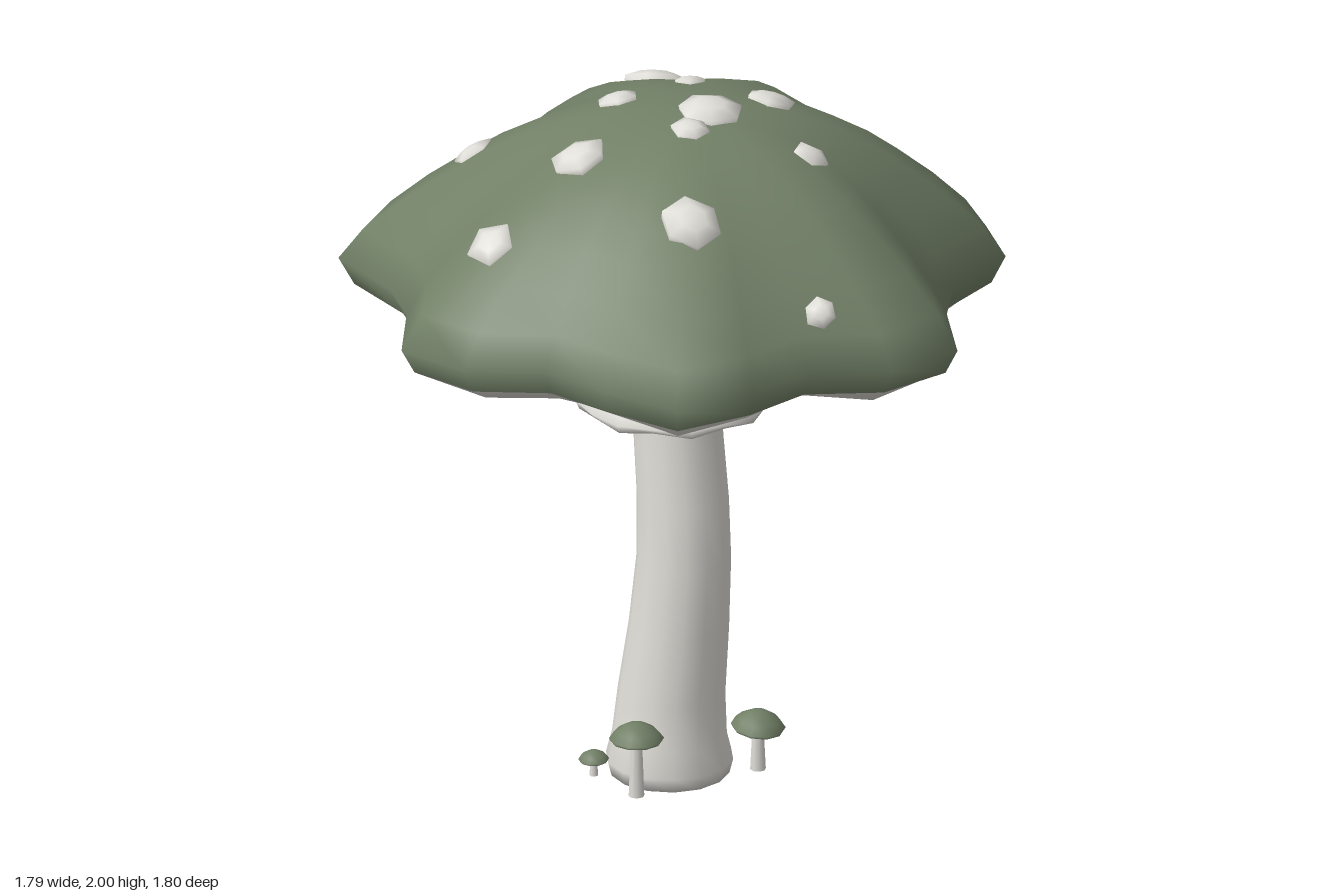
import * as THREE from 'three';
import { mergeVertices } from 'three/addons/utils/BufferGeometryUtils.js';

// Cap outline as [x, z], running back -> left -> front -> right
const OUTLINE = [
  [-0.15, -0.905], [0.06, -0.78], [0.24, -0.70], [0.48, -0.72], [0.64, -0.58], [0.64, -0.33],
  [0.73, -0.165], [0.895, 0.025], [0.83, 0.24], [0.65, 0.38], [0.605, 0.59], [0.50, 0.80],
  [0.255, 0.80], [0.05, 0.78], [-0.14, 0.895], [-0.355, 0.877], [-0.48, 0.67], [-0.617, 0.55],
  [-0.853, 0.453], [-0.90, 0.24], [-0.79, 0.025], [-0.83, -0.20], [-0.867, -0.415],
  [-0.685, -0.55], [-0.467, -0.60], [-0.34, -0.785],
];
const MEAN_RADIUS = 0.86;

// Skin over closed rings of points, listed from top to bottom
function loft(rings) {
  const n = rings[0].length, pos = [], index = [];
  rings.forEach((ring) => ring.forEach((p) => pos.push(...p)));
  for (let i = 0; i < rings.length - 1; i++) {
    for (let k = 0; k < n; k++) {
      const a = i * n + k, b = i * n + (k + 1) % n;
      index.push(a, b, a + n, b, b + n, a + n);
    }
  }
  let g = new THREE.BufferGeometry();
  g.setAttribute('position', new THREE.Float32BufferAttribute(pos, 3));
  g.setIndex(index);
  g = mergeVertices(g, 1e-5);
  g.computeVertexNormals();
  return g;
}

// Horizontal circle of n points; wave lifts every other point
function circle(cx, y, cz, r, n, wave = 0) {
  return Array.from({ length: n }, (_, k) => {
    const a = (k / n) * Math.PI * 2;
    return [cx + r * Math.cos(a), y + (k % 2) * wave, cz + r * Math.sin(a)];
  });
}

// Lobed ring of the cap: the lobes fade toward the middle
function lobedRing(f, y, wave = 0) {
  return OUTLINE.map(([x, z], k) => {
    const R = Math.hypot(x, z);
    const s = f * (1 + (MEAN_RADIUS / R - 1) * (1 - Math.min(1, f * 1.1)));
    return [x * s, y + wave * Math.sin(k * 2.2), z * s];
  });
}

function seeded(seed) {
  return () => (seed = (seed * 16807) % 2147483647) / 2147483647;
}

export function createModel() {
  const green = new THREE.MeshStandardMaterial({ color: 0x728067 });
  green.name = 'moss green';
  const cream = new THREE.MeshStandardMaterial({ color: 0xe0ded8 });
  cream.name = 'pale cream';

  const model = new THREE.Group();
  model.name = 'mushroom';
  const add = (name, geometry, material, parent = model) => {
    const mesh = new THREE.Mesh(geometry, material);
    mesh.name = name;
    parent.add(mesh);
    return mesh;
  };

  // Lobed cap
  const cap = add('cap', loft([
    [0, 1.968], [0.12, 1.962], [0.24, 1.945], [0.36, 1.912], [0.48, 1.868], [0.6, 1.805],
    [0.7, 1.738], [0.82, 1.65], [0.93, 1.555], [1, 1.465], [0.955, 1.39],
  ].map(([f, y]) => lobedRing(f, y))), green);

  // Wavy lip and hollow underside
  add('underside', loft([
    lobedRing(0.955, 1.39), lobedRing(0.9, 1.363, 0.012), lobedRing(0.7, 1.4),
    lobedRing(0.4, 1.45), lobedRing(0, 1.47),
  ]), cream);

  // Bent stem: [x, y, z, radius]
  add('stem', loft([
    [-0.035, 1.5, 0.02, 0.118], [-0.038, 1.25, 0.02, 0.12], [-0.023, 1.0, 0.028, 0.124],
    [-0.002, 0.82, 0.037, 0.127], [0.007, 0.65, 0.045, 0.13], [-0.003, 0.45, 0.054, 0.138],
    [-0.022, 0.25, 0.062, 0.148], [-0.028, 0.12, 0.063, 0.158], [-0.03, 0.05, 0.06, 0.175],
    [-0.03, 0.01, 0.06, 0.165], [-0.03, 0, 0.06, 0],
  ].map(([x, y, z, r]) => circle(x, y, z, r, 14))), cream);

  // Flared skirt: [radius, y, wave]
  add('skirt', loft([
    [0.11, 1.225, 0], [0.14, 1.232, 0], [0.155, 1.218, 0], [0.215, 1.185, 0], [0.25, 1.145, 0],
    [0.272, 1.108, 0.006], [0.262, 1.085, 0.016], [0.225, 1.13, 0], [0.18, 1.17, 0], [0.11, 1.19, 0],
  ].map(([r, y, wave]) => circle(-0.04, y, 0.025, r, 16, wave))), cream);

  // Warts resting on the cap: [x, z, radius, sides]
  const random = seeded(41);
  const ray = new THREE.Raycaster();
  const up = new THREE.Vector3(0, 1, 0);
  [
    [-0.323, -0.3, 0.09, 7], [-0.13, -0.183, 0.047, 6], [0.12, -0.21, 0.067, 6],
    [0.063, 0.005, 0.088, 7], [0.08, 0.12, 0.053, 6], [-0.217, 0.035, 0.058, 6],
    [0.357, -0.058, 0.053, 5], [0.2, -0.58, 0.062, 6], [-0.57, 0.22, 0.06, 5],
    [-0.14, 0.337, 0.08, 6], [0.28, 0.41, 0.085, 6], [0.625, 0.29, 0.045, 6],
    [-0.227, 0.627, 0.068, 5],
  ].forEach(([x, z, r, sides]) => {
    ray.set(new THREE.Vector3(x, 3, z), new THREE.Vector3(0, -1, 0));
    const hit = ray.intersectObject(cap)[0];
    const jitter = Array.from({ length: sides }, () => 0.94 + 0.14 * random());
    const ring = (s, y) => circle(0, y, 0, r * s, sides)
      .map(([px, py, pz], k) => [px * jitter[k], py, pz * jitter[k]]);
    const wart = add('wart', loft([
      ring(0, 0.36 * r), ring(0.5, 0.3 * r), ring(1, 0.1 * r), ring(0.95, -0.25 * r),
    ]), cream);
    wart.position.copy(hit.point);
    wart.quaternion.setFromUnitVectors(up, hit.face.normal);
    wart.rotateY(random() * 6);
  });

  // Sprouts round the foot: [x, z, top, cap radius, tilt x, tilt z]
  [
    [0.025, 0.3, 0.245, 0.075, 0, 0], [0.195, -0.037, 0.203, 0.075, 0, -0.12],
    [-0.232, -0.115, 0.14, 0.055, -0.2, 0.1], [-0.15, 0.25, 0.103, 0.042, 0.05, 0],
  ].forEach(([x, z, top, r, tiltX, tiltZ]) => {
    const sprout = new THREE.Group();
    sprout.name = 'sprout';
    sprout.position.set(x, 0.03, z);
    model.add(sprout);
    const h = top - 0.03;
    const stalk = add('sproutStem', new THREE.CylinderGeometry(r * 0.19, r * 0.29, h - r * 0.3, 8), cream, sprout);
    stalk.position.y = (h - r * 0.3) / 2;
    const head = new THREE.Group();
    head.name = 'sproutHead';
    head.position.y = h - r * 0.68;
    head.rotation.set(tiltX, 0, tiltZ);
    sprout.add(head);
    add('sproutCap', loft([[0, 0.68], [0.4, 0.6], [0.75, 0.38], [1, 0.1], [0.95, 0]]
      .map(([s, y]) => circle(0, y * r, 0, s * r, 10))), green, head);
    add('sproutUnderside', loft([[0.95, 0], [0.8, -0.03], [0, 0.12]]
      .map(([s, y]) => circle(0, y * r, 0, s * r, 10))), cream, head);
  });

  return model;
}
